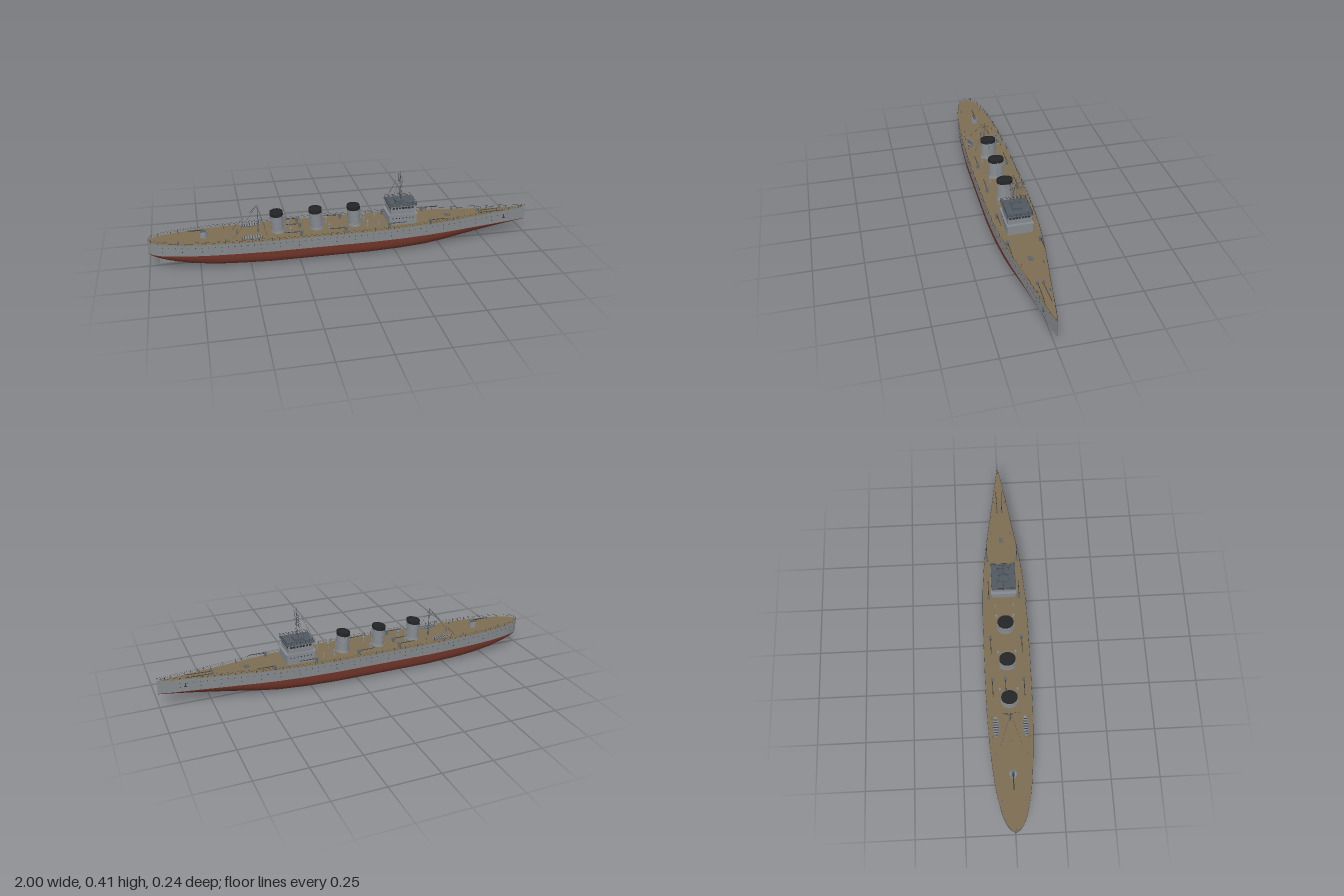
import * as THREE from 'three';
import { toCreasedNormals } from 'three/addons/utils/BufferGeometryUtils.js';

const paint = (name, color, side = THREE.FrontSide) => {
  const m = new THREE.MeshStandardMaterial({ color, side });
  m.name = name;
  return m;
};
const V = (x, y, z) => new THREE.Vector3(x, y, z);

// Hull stations: x, deck half-beam, keel height, deck height, fullness of the bilge
const STATIONS = [
  [-1, 0.002, 0.072, 0.138, 1.8], [-0.99, 0.023, 0.066, 0.138, 1.8], [-0.97, 0.039, 0.058, 0.138, 1.9],
  [-0.94, 0.054, 0.047, 0.138, 2], [-0.9, 0.067, 0.035, 0.137, 2.1], [-0.8, 0.088, 0.016, 0.136, 2.4],
  [-0.7, 0.1, 0.007, 0.136, 2.8], [-0.6, 0.108, 0.003, 0.135, 3.2], [-0.4, 0.118, 0, 0.135, 3.6],
  [0.12, 0.118, 0, 0.135, 3.6], [0.28, 0.111, 0, 0.135, 3.2], [0.42, 0.098, 0.002, 0.136, 2.7],
  [0.52, 0.084, 0.01, 0.136, 2.3], [0.62, 0.067, 0.023, 0.137, 2], [0.72, 0.05, 0.036, 0.138, 1.7],
  [0.82, 0.033, 0.05, 0.14, 1.5], [0.92, 0.016, 0.064, 0.142, 1.4], [1, 0.001, 0.074, 0.144, 1.3],
];
const WATER = 0.076;

// Interpolate one column of the station table
function at(x, col) {
  let i = 1;
  while (i < STATIONS.length - 1 && STATIONS[i][0] < x) i++;
  const a = STATIONS[i - 1], b = STATIONS[i];
  return THREE.MathUtils.lerp(a[col], b[col], (x - a[0]) / (b[0] - a[0]));
}

// Skin a row of equal-length cross-sections
function loft(sections, crease = 0.6) {
  const n = sections[0].length, index = [];
  for (let i = 0; i < sections.length - 1; i++) {
    for (let j = 0; j < n - 1; j++) {
      const a = i * n + j, b = a + n;
      index.push(a, a + 1, b, b, a + 1, b + 1);
    }
  }
  const g = new THREE.BufferGeometry().setFromPoints(sections.flat());
  g.setIndex(index);
  g.computeVertexNormals();
  return toCreasedNormals(g, crease);
}

export function createModel() {
  const hullGrey = paint('hull grey', 0x85898c, THREE.DoubleSide);
  const red = paint('bottom red', 0x70352a, THREE.DoubleSide);
  const tan = paint('deck tan', 0x7c6c52, THREE.DoubleSide);
  const upper = paint('superstructure grey', 0x858a8f, THREE.DoubleSide);
  const roofGrey = paint('roof slate', 0x505860);
  const black = paint('funnel black', 0x222426, THREE.DoubleSide);
  const metal = paint('gunmetal', 0x5c646c);
  const wire = paint('rigging dark', 0x3a3d40);
  const glass = paint('window dark', 0x2b3036);
  const model = new THREE.Group();
  model.name = 'warship';

  const add = (parent, name, geo, mat, x = 0, y = 0, z = 0) => {
    const m = new THREE.Mesh(geo, mat);
    m.name = name;
    m.position.set(x, y, z);
    parent.add(m);
    return m;
  };
  const group = (name, x = 0, y = 0, z = 0) => {
    const g = new THREE.Group();
    g.name = name;
    g.position.set(x, y, z);
    model.add(g);
    return g;
  };
  const box = (p, name, mat, w, h, d, x, y, z) => add(p, name, new THREE.BoxGeometry(w, h, d), mat, x, y, z);
  const cyl = (p, name, mat, r1, r2, h, x, y, z, n = 16) =>
    add(p, name, new THREE.CylinderGeometry(r1, r2, h, n), mat, x, y, z);
  const rod = (p, name, mat, a, b, r, r2 = r) => {
    const d = b.clone().sub(a);
    const m = add(p, name, new THREE.CylinderGeometry(r2, r, d.length(), 6), mat);
    m.position.copy(a).addScaledVector(d, 0.5);
    m.quaternion.setFromUnitVectors(V(0, 1, 0), d.normalize());
    return m;
  };

  // Hull: side plating, painted bottom and deck
  const side = (s) => STATIONS.map(([x, b, , top]) =>
    [V(x, s > 0 ? top : WATER, s * b * (s > 0 ? 1 : 0.985)), V(x, s > 0 ? WATER : top, s * b * (s > 0 ? 0.985 : 1))]);
  add(model, 'leftHullSide', loft(side(1)), hullGrey);
  add(model, 'rightHullSide', loft(side(-1)), hullGrey);
  add(model, 'hullBottom', loft(STATIONS.map(([x, b, keel, , n]) =>
    Array.from({ length: 25 }, (_, k) => {
      const t = (k / 24) * Math.PI, c = Math.cos(t);
      return V(x, WATER - (WATER - keel) * Math.max(0, Math.sin(t)) ** (2 / n),
        0.985 * b * Math.sign(c) * Math.abs(c) ** (2 / n));
    })), 1), red);
  add(model, 'deck', loft(STATIONS.map(([x, b, , top]) => [V(x, top, -b), V(x, top, b)])), tan);
  box(model, 'rudder', hullGrey, 0.07, 0.05, 0.006, -0.915, 0.036, 0);

  // Portholes, anchors and deck-edge railing on both sides
  const fittings = group('hullFittings');
  for (const s of [-1, 1]) {
    for (let k = 0; k < 58; k++) {
      const x = -0.93 + k * 0.032;
      for (const y of k % 3 ? [0.12] : [0.12, 0.099]) {
        const p = cyl(fittings, 'porthole', glass, 0.0022, 0.0022, 0.002, x, y, s * (at(x, 1) * 0.996), 8);
        const slope = (at(x + 0.01, 1) - at(x - 0.01, 1)) / 0.02;
        p.quaternion.setFromUnitVectors(V(0, 1, 0), V(-slope, 0, s).normalize());
      }
    }
    box(fittings, 'anchorShank', wire, 0.004, 0.018, 0.004, 0.87, 0.112, s * 0.025);
    box(fittings, 'anchorFlukes', wire, 0.014, 0.004, 0.005, 0.87, 0.103, s * 0.025);
    const top = (x, h) => V(x, at(x, 3) + h, s * at(x, 1) * 0.985);
    for (let k = 0; k < 60; k++) {
      const x = -0.985 + k * 0.033;
      rod(fittings, 'stanchion', wire, top(x, 0), top(x, 0.015), 0.0007);
    }
    for (const h of [0.008, 0.015]) {
      const path = new THREE.CatmullRomCurve3(STATIONS.map((r) => top(r[0], h)));
      add(fittings, 'handrail', new THREE.TubeGeometry(path, 80, 0.0004, 4), wire);
    }
  }

  // Funnels: three raked oval stacks with black caps
  for (const x of [-0.35, -0.15, 0.05]) {
    const f = group('funnel', x, 0.135, 0);
    const stack = new THREE.Group();
    stack.name = 'funnelStack';
    stack.scale.set(0.82, 1, 1);
    stack.rotation.z = 0.06;
    f.add(stack);
    cyl(stack, 'funnelFoot', upper, 0.042, 0.045, 0.012, 0, 0.005, 0, 28);
    cyl(stack, 'funnelBody', upper, 0.039, 0.041, 0.09, 0, 0.045, 0, 28);
    for (const y of [0.035, 0.065]) cyl(stack, 'funnelBand', upper, 0.041, 0.041, 0.002, 0, y, 0, 28);
    add(stack, 'funnelCap', new THREE.CylinderGeometry(0.041, 0.041, 0.017, 28, 1, true), black, 0, 0.097, 0);
    cyl(stack, 'funnelMouth', black, 0.0405, 0.0405, 0.002, 0, 0.098, 0, 28);
    rod(f, 'steamPipe', upper, V(0.036, 0, 0), V(0.031, 0.095, 0), 0.003);
    for (const s of [-1, 1]) {
      cyl(f, 'ventilator', upper, 0.005, 0.006, 0.025, 0.06, 0.012, s * 0.045, 10);
      add(f, 'ventilatorCowl', new THREE.SphereGeometry(0.007, 10, 8), upper, 0.06, 0.026, s * 0.045);
    }
  }

  // Bridge: two tiers, window band, roof and rails
  const bridge = group('bridge', 0.295, 0.135, 0);
  const tier = (name, w, h, d, y) => box(bridge, name, upper, w, h, d, 0, y, 0);
  tier('lowerHouse', 0.145, 0.055, 0.126, 0.0275);
  tier('bridgeDeck', 0.157, 0.003, 0.134, 0.056);
  tier('upperHouse', 0.128, 0.046, 0.118, 0.08);
  box(bridge, 'bridgeRoof', roofGrey, 0.146, 0.004, 0.13, 0, 0.104, 0);
  box(bridge, 'chartHouse', roofGrey, 0.05, 0.013, 0.05, -0.005, 0.112, 0);
  for (let k = -3; k <= 3; k++) {
    for (const s of [-1, 1]) {
      box(bridge, 'window', glass, 0.002, 0.01, 0.012, s * 0.064, 0.091, k * 0.0155);
      box(bridge, 'window', glass, 0.012, 0.01, 0.002, k * 0.0165, 0.091, s * 0.059);
      box(bridge, 'lowerPorthole', glass, 0.005, 0.005, 0.002, k * 0.018, 0.036, s * 0.063);
    }
  }
  for (const s of [-1, 1]) {
    for (const y of [0.113, 0.12]) {
      box(bridge, 'roofRail', wire, 0.144, 0.001, 0.001, 0, y, s * 0.062);
      box(bridge, 'roofRail', wire, 0.001, 0.001, 0.124, s * 0.071, y, 0);
    }
    for (let k = -3; k <= 3; k++) {
      box(bridge, 'roofPost', wire, 0.001, 0.016, 0.001, k * 0.0236, 0.113, s * 0.062);
      box(bridge, 'roofPost', wire, 0.001, 0.016, 0.001, s * 0.071, 0.113, k * 0.0205);
    }
    cyl(bridge, 'searchlight', metal, 0.006, 0.006, 0.011, 0.045, 0.112, s * 0.04, 12);
  }

  // Masts with yards and stays
  const fore = group('foremast', 0.293, 0, 0);
  rod(fore, 'mastPole', metal, V(0, 0.24, 0), V(0, 0.41, 0), 0.003, 0.001);
  for (const [y, w] of [[0.382, 0.038], [0.353, 0.038], [0.268, 0.03]]) {
    rod(fore, 'yard', wire, V(0, y, -w), V(0, y, w), 0.0009);
  }
  for (const s of [-1, 1]) {
    rod(fore, 'shroud', wire, V(0, 0.385, 0), V(-0.03, 0.245, s * 0.032), 0.0005);
    rod(fore, 'halyard', wire, V(0, 0.382, s * 0.038), V(0, 0.25, -s * 0.022), 0.0004);
    rod(fore, 'halyard', wire, V(0, 0.382, s * 0.038), V(0, 0.268, s * 0.012), 0.0004);
  }
  rod(fore, 'backstay', wire, V(-0.024, 0.362, 0), V(-0.082, 0.24, 0), 0.0006);
  const main = group('mainmast', -0.45, 0.135, 0);
  rod(main, 'mastPole', metal, V(0, 0, 0), V(0, 0.155, 0), 0.0035, 0.001);
  rod(main, 'yard', wire, V(0, 0.125, -0.025), V(0, 0.125, 0.025), 0.0009);
  rod(main, 'derrickPost', metal, V(-0.108, 0, 0), V(-0.108, 0.025, 0), 0.003);
  for (const s of [-1, 1]) {
    rod(main, 'stay', wire, V(0, 0.15, 0), V(-0.13, 0, s * 0.055), 0.0005);
    rod(main, 'shroud', wire, V(0, 0.14, 0), V(0.04, 0, s * 0.06), 0.0005);
  }

  // Guns: broadside pairs, one on the stern and one beside the after funnel
  const gun = (x, z, dir, size, len) => {
    const g = group('gun', x, 0.135, z);
    cyl(g, 'gunPedestal', metal, size * 0.6, size * 0.8, 0.016, 0, 0.008, 0, 12);
    box(g, 'gunBreech', metal, size * 1.9, 0.007, size * 1.5, 0, 0.019, 0);
    rod(g, 'gunBarrel', wire, V(0, 0.02, 0), V(dir * len, 0.021, 0), 0.0022, 0.0014);
  };
  for (const z of [-0.081, 0.081]) {
    for (const [x, dir] of [[-0.24, -1], [-0.01, -1], [0.22, 1], [0.44, 1]]) gun(x, z, dir, 0.009, 0.09);
  }
  gun(-0.235, -0.014, -1, 0.009, 0.07);
  const stern = group('sternGun', -0.725, 0.135, 0);
  cyl(stern, 'gunHouse', upper, 0.018, 0.02, 0.028, 0, 0.014, 0, 20);
  box(stern, 'gunBreech', metal, 0.03, 0.01, 0.016, 0, 0.033, 0);
  rod(stern, 'gunBarrel', wire, V(0, 0.038, 0), V(-0.08, 0.039, 0), 0.003, 0.002);

  // Ship's boats with thwarts and davits
  for (const s of [-1, 1]) {
    const b = group('boat', -0.487, 0.148, s * 0.075);
    const hull = add(b, 'boatHull', new THREE.SphereGeometry(1, 20, 8, 0, Math.PI * 2, Math.PI / 2, Math.PI / 2), upper);
    hull.scale.set(0.056, 0.013, 0.016);
    for (let k = -3; k <= 3; k++) box(b, 'thwart', wire, 0.004, 0.0015, 0.027 - Math.abs(k) * 0.003, k * 0.013, -0.001, 0);
    for (const x of [-0.05, 0.05]) rod(b, 'davit', wire, V(x, -0.013, s * 0.018), V(x, 0.014, s * 0.02), 0.001);
  }

  // Deck gear: windlass, bollards, hatches and jackstaffs
  const gear = group('deckGear');
  for (const s of [-1, 1]) {
    cyl(gear, 'capstan', metal, 0.006, 0.007, 0.012, 0.735, 0.144, s * 0.014, 12);
    rod(gear, 'anchorChain', wire, V(0.735, 0.14, s * 0.012), V(0.86, 0.143, s * 0.016), 0.0016);
    for (const x of [-0.85, -0.62, 0.6, 0.79]) {
      cyl(gear, 'bollard', metal, 0.003, 0.003, 0.014, x, at(x, 3) + 0.006, s * at(x, 1) * 0.75, 10);
    }
    cyl(gear, 'vent', upper, 0.004, 0.005, 0.024, 0.17, 0.147, s * 0.048, 10);
  }
  box(gear, 'hatch', metal, 0.025, 0.007, 0.02, 0.56, 0.139, 0);
  rod(gear, 'jackstaff', wire, V(0.975, 0.142, 0), V(0.98, 0.16, 0), 0.0009);
  rod(gear, 'ensignStaff', wire, V(-0.985, 0.138, 0), V(-0.992, 0.158, 0), 0.0009);
  return model;
}
